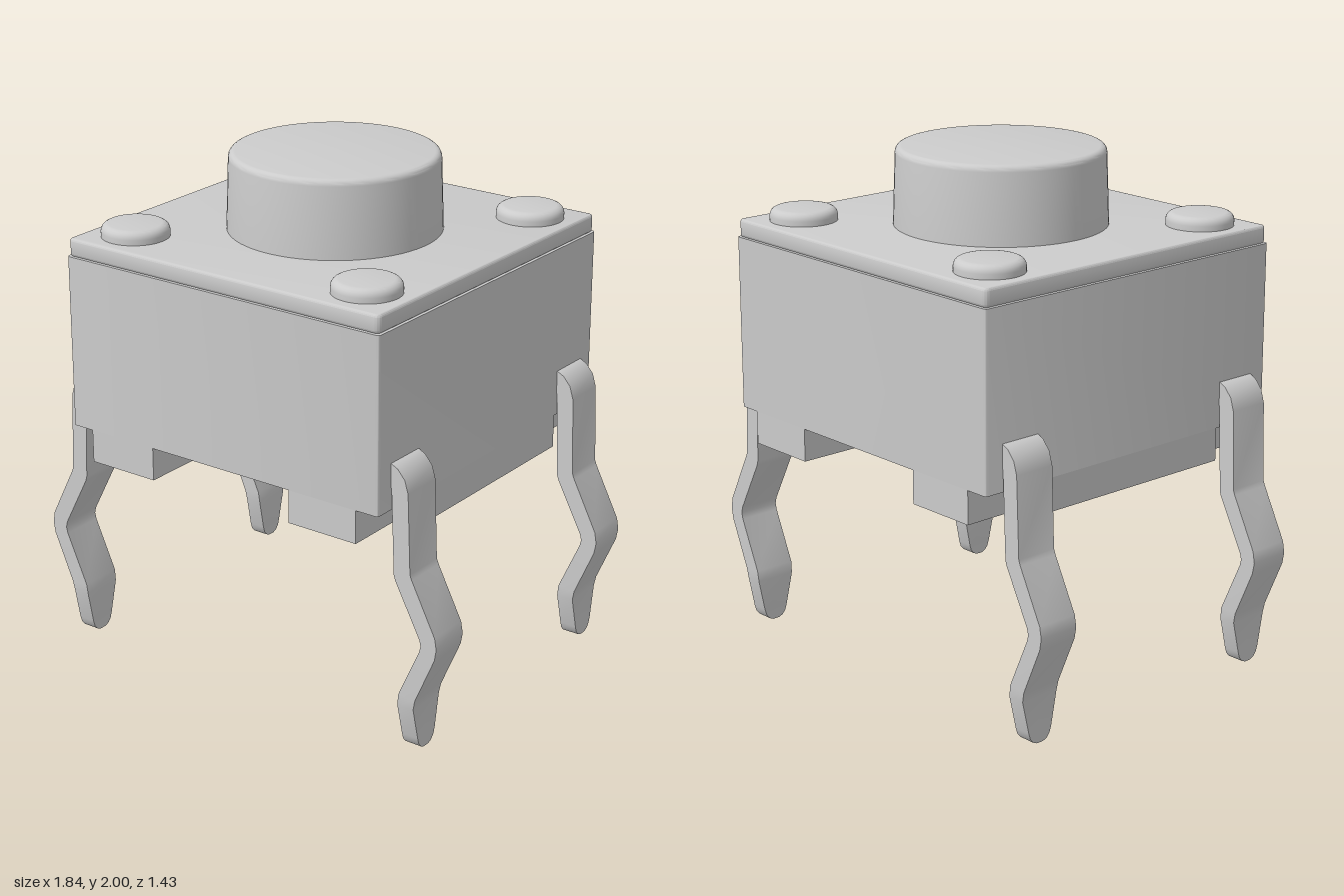
import * as THREE from 'three';
import { toCreasedNormals } from 'three/addons/utils/BufferGeometryUtils.js';

const material = new THREE.MeshStandardMaterial({ color: 0xcccccc });

function add(group, name, geometry, x = 0, y = 0, z = 0) {
  const mesh = new THREE.Mesh(toCreasedNormals(geometry, 0.6), material);
  mesh.name = name;
  mesh.position.set(x, y, z);
  group.add(mesh);
  return mesh;
}

// Extrude a ground-plan shape upwards from y0 to y1
function slab(shape, y0, y1, bevel = 0) {
  const g = new THREE.ExtrudeGeometry(shape, {
    depth: y1 - y0 - 2 * bevel, bevelEnabled: bevel > 0, bevelSize: bevel,
    bevelThickness: bevel, bevelOffset: -bevel, bevelSegments: 3, curveSegments: 5,
  });
  return g.rotateX(-Math.PI / 2).translate(0, y0 + bevel, 0);
}

function roundedSquare(h, r) {
  const s = new THREE.Shape();
  s.absarc(h - r, h - r, r, 0, Math.PI / 2);
  s.absarc(-h + r, h - r, r, Math.PI / 2, Math.PI);
  s.absarc(-h + r, -h + r, r, Math.PI, 1.5 * Math.PI);
  s.absarc(h - r, -h + r, r, 1.5 * Math.PI, 2 * Math.PI);
  return s;
}

// Round knob with a softened top edge
function knob(rBottom, rTop, height, fillet) {
  const pts = [new THREE.Vector2(0, 0), new THREE.Vector2(rBottom, 0)];
  for (let i = 0; i <= 5; i++) {
    const a = (i / 5) * Math.PI / 2;
    pts.push(new THREE.Vector2(rTop - fillet + fillet * Math.cos(a), height - fillet + fillet * Math.sin(a)));
  }
  pts.push(new THREE.Vector2(0, height));
  return new THREE.LatheGeometry(pts, 64);
}

// Bent strip: rectangular sections [outerX, outerY, innerX, innerY, halfWidth]
function legGeometry() {
  const sections = [
    [0.68, 1.13, 0.68, 1.06, 0.085],
    [0.715, 1.13, 0.705, 1.06, 0.085],
    [0.745, 1.115, 0.712, 1.05, 0.085],
    [0.775, 1.08, 0.718, 1.035, 0.085],
    [0.79, 1.03, 0.72, 1.01, 0.085],
    [0.802, 0.72, 0.732, 0.70, 0.085],
    [0.81, 0.70, 0.738, 0.68, 0.085],
    [0.912, 0.50, 0.846, 0.475, 0.085],
    [0.92, 0.455, 0.852, 0.45, 0.085],
    [0.912, 0.41, 0.846, 0.425, 0.085],
    [0.83, 0.22, 0.757, 0.225, 0.085],
    [0.822, 0.18, 0.752, 0.18, 0.083],
    [0.825, 0.05, 0.755, 0.05, 0.055],
    [0.825, 0.025, 0.755, 0.025, 0.047],
    [0.825, 0.008, 0.755, 0.008, 0.033],
    [0.825, 0, 0.755, 0, 0.015],
  ];
  const pos = [], idx = [];
  for (const [ox, oy, ix, iy, w] of sections) pos.push(ox, oy, w, ox, oy, -w, ix, iy, -w, ix, iy, w);
  const last = (sections.length - 1) * 4;
  for (let s = 0; s < last; s += 4) {
    for (let k = 0; k < 4; k++) {
      const a = s + k, b = s + (k + 1) % 4;
      idx.push(a, a + 4, b, b, a + 4, b + 4);
    }
  }
  idx.push(0, 1, 2, 0, 2, 3, last, last + 2, last + 1, last, last + 3, last + 2);
  const g = new THREE.BufferGeometry();
  g.setAttribute('position', new THREE.Float32BufferAttribute(pos, 3));
  g.setIndex(idx);
  return g;
}

export function createModel() {
  const model = new THREE.Group();
  model.name = 'pushButtonSwitch';

  // Housing and cover plate
  add(model, 'housing', slab(roundedSquare(0.716, 0.015), 0.95, 1.63));
  add(model, 'coverPlate', slab(roundedSquare(0.71, 0.02), 1.63, 1.7, 0.01));

  // Base pads: a cross-shaped recess between them, corner notches behind the legs
  const pad = new THREE.Shape([
    [0.32, 0.13], [0.32, 0.716], [0.62, 0.716], [0.62, 0.455], [0.716, 0.455], [0.716, -0.455],
    [0.62, -0.455], [0.62, -0.716], [0.32, -0.716], [0.32, -0.13], [0.62, -0.13], [0.62, 0.13],
  ].map(([x, y]) => new THREE.Vector2(x, y)));
  const leg = legGeometry();

  // Each side holds one pad and two legs; the second is the first turned half round
  for (const side of ['left', 'right']) {
    const half = new THREE.Group();
    half.name = side + 'Side';
    add(half, 'basePad', slab(pad, 0.82, 0.95));
    for (const z of [-0.553, 0.553]) add(half, 'leg', leg, 0, 0, z);
    if (side === 'right') half.rotation.y = Math.PI;
    model.add(half);
  }

  // Plunger and corner rivets
  add(model, 'button', knob(0.41, 0.4, 0.3, 0.025), 0, 1.7, 0);
  for (const x of [-0.532, 0.532]) {
    for (const z of [-0.532, 0.532]) add(model, 'rivet', knob(0.13, 0.13, 0.05, 0.03), x, 1.7, z);
  }
  return model;
}
